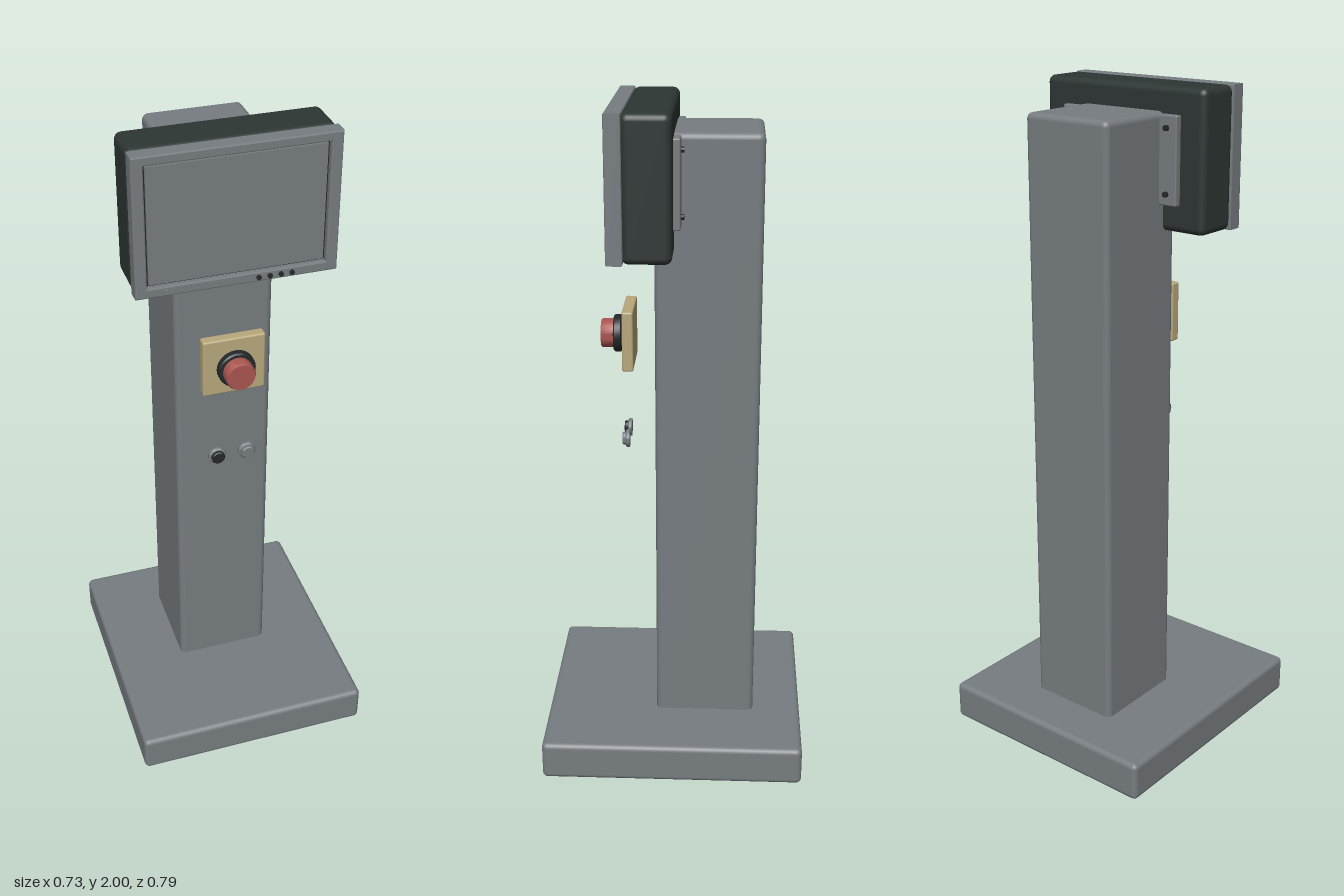
import * as THREE from 'three';
import { RoundedBoxGeometry } from 'three/addons/geometries/RoundedBoxGeometry.js';
import { toCreasedNormals } from 'three/addons/utils/BufferGeometryUtils.js';

const mat = (name, color) => {
  const m = new THREE.MeshStandardMaterial({ color });
  m.name = name;
  return m;
};

export function createModel() {
  const root = new THREE.Group();
  root.name = 'controlPedestal';
  const grey = mat('paintedGrey', 0x767c80);
  const dark = mat('darkCasing', 0x2d3634);
  const black = mat('blackPlastic', 0x24282a);
  const tan = mat('tanPlate', 0xb8a87c);
  const red = mat('redButton', 0xa9554f);

  const add = (name, geo, material, x = 0, y = 0, z = 0, parent = root) => {
    const mesh = new THREE.Mesh(geo, material);
    mesh.name = name;
    mesh.position.set(x, y, z);
    parent.add(mesh);
    return mesh;
  };
  // Rounded box given by its limits on each axis
  const box = (name, material, [x0, x1], [y0, y1], [z0, z1], r) =>
    add(name, new RoundedBoxGeometry(x1 - x0, y1 - y0, z1 - z0, 3, r), material,
      (x0 + x1) / 2, (y0 + y1) / 2, (z0 + z1) / 2);
  // Turned part along +z from [radius, z] points
  const turned = (name, material, points, x, y, z, sides = 32) => {
    const geo = new THREE.LatheGeometry(points.map(([r, h]) => new THREE.Vector2(r, h)), sides);
    geo.rotateX(Math.PI / 2);
    return add(name, toCreasedNormals(geo, 0.6), material, x, y, z);
  };
  const rect = (C, w, h, y) => {
    const s = new C();
    s.moveTo(-w, y - h);
    s.lineTo(w, y - h);
    s.lineTo(w, y + h);
    s.lineTo(-w, y + h);
    s.closePath();
    return s;
  };

  // Base and column
  box('base', grey, [-0.365, 0.365], [0, 0.12], [-0.397, 0.397], 0.016);
  box('column', grey, [-0.145, 0.145], [0.09, 1.93], [-0.248, 0.056], 0.018);

  // Monitor casing
  box('monitorCasing', dark, [-0.283, 0.283], [1.598, 2], [0, 0.137], 0.02);

  // Bezel with an opening for the screen
  const bezel = rect(THREE.Shape, 0.283, 0.202, 1.798);
  bezel.holes.push(rect(THREE.Path, 0.25, 0.174, 1.799));
  const b = 0.004;
  const bezelGeo = new THREE.ExtrudeGeometry(bezel, {
    depth: 0.047 - 2 * b, bevelSize: b, bevelThickness: b, bevelOffset: -b, bevelSegments: 2,
  });
  add('bezel', bezelGeo, grey, 0, 0, 0.133 + b);
  add('screenSurround', new THREE.BoxGeometry(0.51, 0.356, 0.03), black, 0, 1.799, 0.148);
  add('screen', new THREE.BoxGeometry(0.488, 0.336, 0.008), grey, 0, 1.799, 0.167);

  // Monitor keys and indicator
  for (const x of [0.058, 0.09, 0.121, 0.152])
    turned('monitorKey', black, [[0.007, 0], [0.007, 0.007], [0, 0.007]], x, 1.61, 0.179, 16);
  turned('indicator', grey, [[0.007, 0], [0.007, 0.007], [0, 0.007]], -0.197, 1.61, 0.179, 16);

  // Rear brackets with screws
  for (const s of [-1, 1]) {
    box('bracket', grey, s < 0 ? [-0.203, -0.138] : [0.138, 0.203], [1.675, 1.925], [-0.02, 0.003], 0.005);
    for (const y of [1.708, 1.89]) {
      const screw = turned('bracketScrew', black, [[0.008, 0], [0.008, 0.01], [0, 0.01]],
        s * 0.17, y, -0.019, 16);
      screw.rotation.y = Math.PI;
    }
  }

  // Emergency stop
  box('stopPlate', tan, [-0.092, 0.092], [1.231, 1.411], [0.122, 0.155], 0.006);
  turned('stopCollar', black,
    [[0, 0], [0.047, 0], [0.047, 0.006], [0.055, 0.01], [0.055, 0.027], [0.051, 0.031], [0, 0.031]],
    0, 1.322, 0.153);
  turned('stopButton', red,
    [[0.043, 0], [0.043, 0.035], [0.04, 0.04], [0, 0.04]], 0, 1.322, 0.181);

  // Small push buttons
  for (const [x, cap] of [[-0.047, black], [0.045, grey]]) {
    turned('buttonRing', grey,
      [[0, 0], [0.027, 0], [0.027, 0.008], [0.023, 0.012], [0.019, 0.012], [0.019, 0.006]], x, 1.005, 0.138);
    turned('buttonCap', cap, [[0.02, 0], [0.02, 0.012], [0.017, 0.015], [0, 0.015]], x, 1.005, 0.145);
  }
  return root;
}
